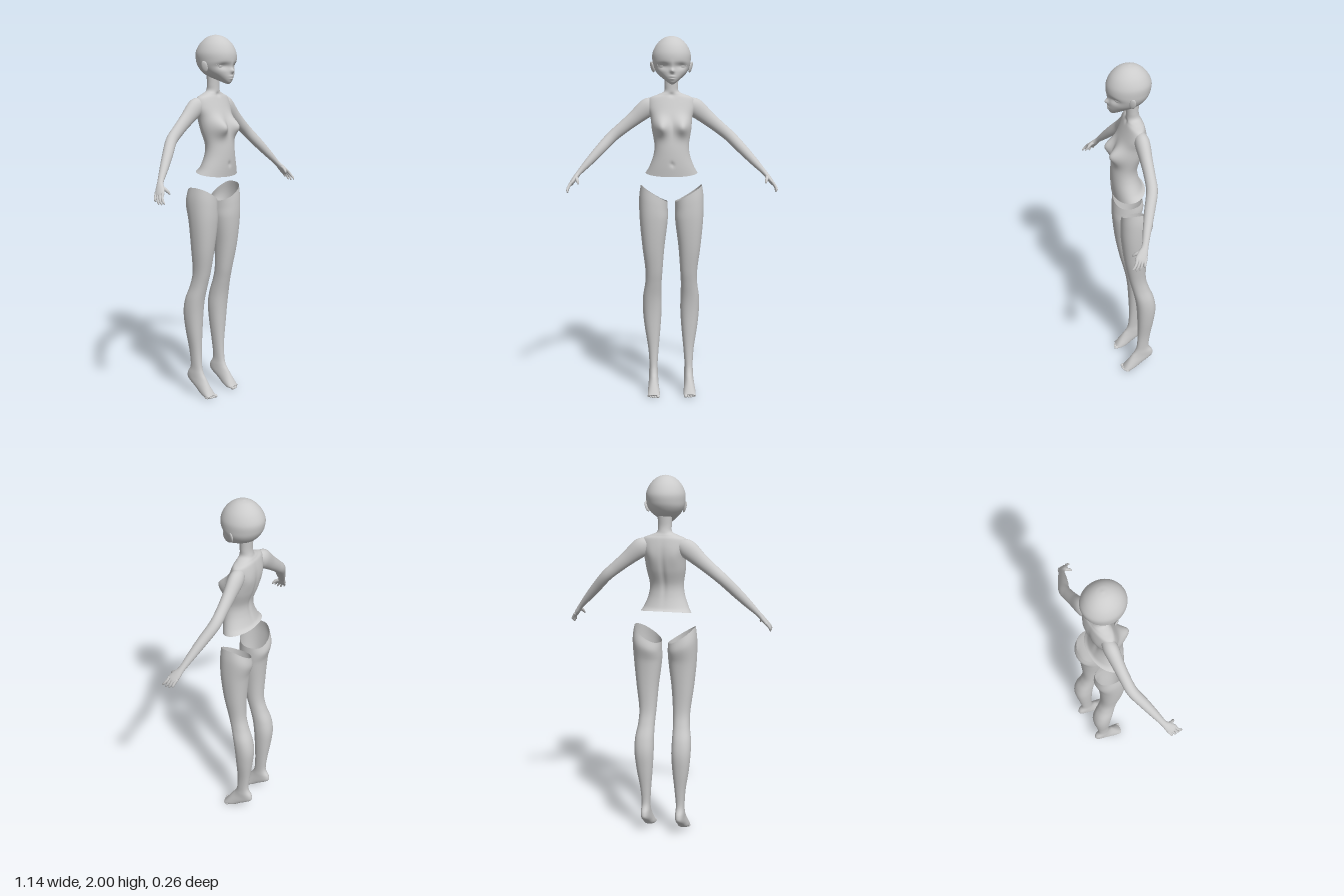
import * as THREE from 'three';

const material = new THREE.MeshStandardMaterial({ color: 0xcccccc, side: THREE.DoubleSide });
const bell = (a, b, ra, rb) => Math.exp(-((a / ra) ** 2) - (b / rb) ** 2);

// Catmull-Rom blend of station rows, t from 0 to 1
function sample(rows, t) {
  const f = t * (rows.length - 1);
  const i = Math.min(Math.floor(f), rows.length - 2);
  const u = f - i;
  const at = (k) => rows[Math.min(Math.max(k, 0), rows.length - 1)];
  const [p, q, r, s] = [at(i - 1), at(i), at(i + 1), at(i + 2)];
  return q.map((_, k) => q[k] + 0.5 * u * (r[k] - p[k]
    + u * (2 * p[k] - 5 * q[k] + 4 * r[k] - s[k] + u * (3 * (q[k] - r[k]) + s[k] - p[k]))));
}

// Smooth skin through closed rings; ringAt(t) returns a function of the angle
function skin(name, ringAt, around, along, capStart, capEnd) {
  const pos = [], index = [];
  for (let i = 0; i <= along; i++) {
    const ring = ringAt(i / along);
    for (let j = 0; j < around; j++) pos.push(...ring((j / around) * Math.PI * 2));
  }
  for (let i = 0; i < along; i++) for (let j = 0; j < around; j++) {
    const a = i * around + j, b = i * around + (j + 1) % around;
    index.push(a, b, a + around, b, b + around, a + around);
  }
  const cap = (row, flip) => {
    const mid = [0, 0, 0], centre = pos.length / 3;
    for (let j = 0; j < around; j++) for (let k = 0; k < 3; k++) mid[k] += pos[(row * around + j) * 3 + k] / around;
    pos.push(...mid);
    for (let j = 0; j < around; j++) {
      const a = row * around + j, b = row * around + (j + 1) % around;
      index.push(centre, flip ? b : a, flip ? a : b);
    }
  };
  if (capStart) cap(0, true);
  if (capEnd) cap(along, false);
  const geo = new THREE.BufferGeometry();
  geo.setAttribute('position', new THREE.Float32BufferAttribute(pos, 3));
  geo.setIndex(index);
  geo.computeVertexNormals();
  const mesh = new THREE.Mesh(geo, material);
  mesh.name = name;
  return mesh;
}

// Body rings: [centre x, half width, front z, front y, back z, back y]
function body(name, rows, around, along, capStart, capEnd, adjust, power = 1) {
  return skin(name, (t) => {
    const [xc, rx, zf, yf, zb, yb] = sample(rows, t);
    return (a) => {
      const c = Math.cos(a), s = Math.sin(a);
      const k = (1 + Math.sign(s) * Math.abs(s) ** power) / 2;
      const p = [xc + rx * Math.sign(c) * Math.abs(c) ** power, yb + (yf - yb) * k, zb + (zf - zb) * k];
      if (adjust) adjust(p, s);
      return p;
    };
  }, around, along, capStart, capEnd);
}

// Limb rings across a path: [x, y, z, thickness radius, sideways radius]
function limb(name, rows, around, along) {
  const Z = new THREE.Vector3(0, 0, 1);
  return skin(name, (t) => {
    const [x, y, z, ra, rb] = sample(rows, t);
    const p = sample(rows, Math.max(0, t - 0.01)), q = sample(rows, Math.min(1, t + 0.01));
    const T = new THREE.Vector3(q[0] - p[0], q[1] - p[1], q[2] - p[2]).normalize();
    const A = Z.clone().cross(T).normalize(), B = T.clone().cross(A);
    return (a) => new THREE.Vector3(x, y, z)
      .addScaledVector(A, ra * Math.cos(a)).addScaledVector(B, rb * Math.sin(a)).toArray();
  }, around, along, true, true);
}

function blob(name, [x, y, z], [sx, sy, sz], [rx, ry, rz] = [0, 0, 0]) {
  const mesh = new THREE.Mesh(new THREE.SphereGeometry(1, 20, 14), material);
  mesh.name = name;
  mesh.position.set(x, y, z);
  mesh.scale.set(sx, sy, sz);
  mesh.rotation.set(rx, ry, rz);
  return mesh;
}

const level = (y, rx, zf, zb, xc = 0) => [xc, rx, zf, y, zb, y];

function makeTorso() {
  const rows = [
    level(1.8, 0.04, 0.015, -0.056), level(1.74, 0.037, 0.012, -0.052), level(1.705, 0.041, 0.012, -0.058),
    level(1.688, 0.075, 0.014, -0.066), level(1.668, 0.118, 0.022, -0.076), level(1.62, 0.127, 0.042, -0.085),
    level(1.565, 0.114, 0.064, -0.085), level(1.5, 0.107, 0.082, -0.072), level(1.42, 0.094, 0.093, -0.045),
    level(1.36, 0.1, 0.096, -0.047), level(1.3, 0.122, 0.094, -0.066), [0, 0.142, 0.089, 1.247, -0.083, 1.283],
  ];
  return body('torso', rows, 72, 90, true, false, (p, s) => {
    const x = Math.abs(p[0]), y = p[1];
    if (s > 0) {
      // bust, collar hollow and navel
      p[2] += Math.sqrt(s) * 0.052 * bell(x - 0.062, y - 1.515, 0.04, 0.046);
      p[2] -= 0.006 * bell(x, y - 1.685, 0.015, 0.012) + 0.008 * bell(x, y - 1.315, 0.009, 0.013);
    } else {
      // shoulder blades and spine groove
      p[2] -= -s * 0.006 * bell(x - 0.065, y - 1.58, 0.03, 0.05);
      p[2] += -s * 0.008 * bell(x, y - 1.48, 0.014, 0.13);
    }
  });
}

function makeHead() {
  const head = new THREE.Group();
  head.name = 'head';
  const rows = [
    level(2, 0.004, 0, -0.008), level(1.993, 0.034, 0.034, -0.04), level(1.975, 0.062, 0.066, -0.07),
    level(1.945, 0.087, 0.094, -0.097), level(1.905, 0.103, 0.112, -0.115), level(1.865, 0.103, 0.114, -0.112),
    level(1.835, 0.097, 0.105, -0.1), level(1.805, 0.081, 0.106, -0.077), [0, 0.058, 0.106, 1.778, -0.048, 1.785],
    [0, 0.033, 0.1, 1.755, 0, 1.768], [0, 0.013, 0.088, 1.742, 0.05, 1.752],
  ];
  head.add(body('skull', rows, 96, 96, true, true, (p, s) => {
    if (s <= 0) return;
    const x = Math.abs(p[0]), y = p[1];
    // nose, eye sockets and lips
    p[2] += 0.017 * bell(x, y - 1.812, 0.011, 0.012) + 0.005 * bell(x, y - 1.835, 0.011, 0.02);
    p[2] -= 0.011 * bell(x - 0.05, y - 1.838, 0.025, 0.016);
    p[2] += 0.005 * bell(x, y - 1.783, 0.014, 0.005) + 0.005 * bell(x, y - 1.77, 0.012, 0.005);
  }));
  for (const s of [-1, 1]) {
    const side = new THREE.Group();
    side.name = s > 0 ? 'leftFace' : 'rightFace';
    side.scale.x = s;
    side.add(blob('eye', [0.052, 1.838, 0.067], [0.024, 0.013, 0.013], [0, 0.5, 0]));
    const lid = new THREE.CatmullRomCurve3([[0.03, 1.834, 0.088], [0.042, 1.849, 0.087],
      [0.058, 1.851, 0.08], [0.074, 1.842, 0.066], [0.08, 1.844, 0.063]].map((v) => new THREE.Vector3(...v)));
    const lash = new THREE.Mesh(new THREE.TubeGeometry(lid, 20, 0.0025, 6), material);
    lash.name = 'upperEyelid';
    side.add(lash);
    side.add(blob('ear', [0.103, 1.835, 0.005], [0.007, 0.03, 0.017], [-0.2, -0.45, -0.3]));
    head.add(side);
  }
  return head;
}

function makeArm() {
  const arm = new THREE.Group();
  arm.add(limb('armAndPalm', [
    [0.075, 1.64, -0.035, 0.025, 0.025], [0.125, 1.62, -0.038, 0.05, 0.038], [0.2, 1.56, -0.04, 0.04, 0.032],
    [0.265, 1.508, -0.04, 0.034, 0.029], [0.325, 1.458, -0.035, 0.031, 0.029], [0.39, 1.39, -0.005, 0.028, 0.027],
    [0.45, 1.326, 0.023, 0.022, 0.022], [0.502, 1.27, 0.047, 0.014, 0.017], [0.525, 1.24, 0.064, 0.013, 0.025],
    [0.543, 1.215, 0.08, 0.011, 0.028], [0.549, 1.206, 0.086, 0.006, 0.022],
  ], 28, 70));
  // fingers, index to little
  for (let i = 0; i < 4; i++) {
    const zb = 0.105 - i * 0.015, zt = [0.128, 0.11, 0.09, 0.068][i], yt = [1.172, 1.167, 1.168, 1.18][i];
    arm.add(limb('finger', [
      [0.54, 1.222, zb - 0.008, 0.008, 0.008], [0.553, 1.205, zb, 0.0075, 0.0075],
      [0.561, (1.205 + yt) / 2, (zb + zt) / 2, 0.0065, 0.0065], [0.562, yt + 0.006, zt - 0.002, 0.005, 0.005],
      [0.561, yt, zt, 0.002, 0.002],
    ], 10, 14));
  }
  arm.add(limb('thumb', [
    [0.518, 1.25, 0.065, 0.01, 0.01], [0.513, 1.238, 0.09, 0.009, 0.009],
    [0.507, 1.225, 0.105, 0.007, 0.007], [0.504, 1.214, 0.112, 0.003, 0.003],
  ], 10, 14));
  return arm;
}

function makeLeg() {
  const leg = new THREE.Group();
  const rows = [
    level(1.2, 0.074, 0.063, -0.098, 0.095), level(1.12, 0.079, 0.067, -0.108, 0.099),
    level(1, 0.077, 0.066, -0.088, 0.098), level(0.85, 0.061, 0.05, -0.076, 0.1),
    level(0.72, 0.048, 0.026, -0.073, 0.097), level(0.64, 0.046, 0.007, -0.09, 0.1),
    level(0.56, 0.052, -0.011, -0.119, 0.106), level(0.48, 0.053, -0.022, -0.131, 0.106),
    level(0.38, 0.045, -0.028, -0.122, 0.104), level(0.26, 0.03, -0.031, -0.105, 0.1),
    level(0.17, 0.0235, -0.026, -0.098, 0.1), [0.1, 0.025, -0.014, 0.13, -0.121, 0.122],
    [0.1, 0.026, 0.006, 0.1, -0.117, 0.088], [0.101, 0.029, 0.025, 0.07, -0.06, 0.047],
    [0.101, 0.033, 0.041, 0.045, -0.018, 0.016], [0.101, 0.034, 0.053, 0.026, 0.015, 0.004],
    [0.101, 0.031, 0.058, 0.018, 0.045, 0.003],
  ];
  // open top slanted down towards the crotch and back
  leg.add(body('legAndFoot', rows, 48, 100, false, true, (p) => {
    if (p[1] < 1) return;
    const cut = 1.2 - 0.62 * (0.178 - p[0]) - 0.3 * Math.max(0, -p[2] - 0.05);
    p[1] = 1 + (p[1] - 1) * (cut - 1) / 0.2;
  }, 0.9));
  // toes, big to little
  for (let i = 0; i < 5; i++) {
    const r = i ? 0.0065 : 0.0095;
    leg.add(blob('toe', [[0.078, 0.094, 0.107, 0.119, 0.13][i], r + 0.001, 0.056 - i * i * 0.0012], [r, r, 0.014]));
  }
  return leg;
}

export function createModel() {
  const model = new THREE.Group();
  model.name = 'mannequin';
  model.add(makeTorso(), makeHead());
  for (const s of [1, -1]) {
    const arm = makeArm(), leg = makeLeg(), side = s > 0 ? 'left' : 'right';
    arm.name = side + 'Arm';
    leg.name = side + 'Leg';
    arm.scale.x = leg.scale.x = s;
    model.add(arm, leg);
  }
  return model;
}
